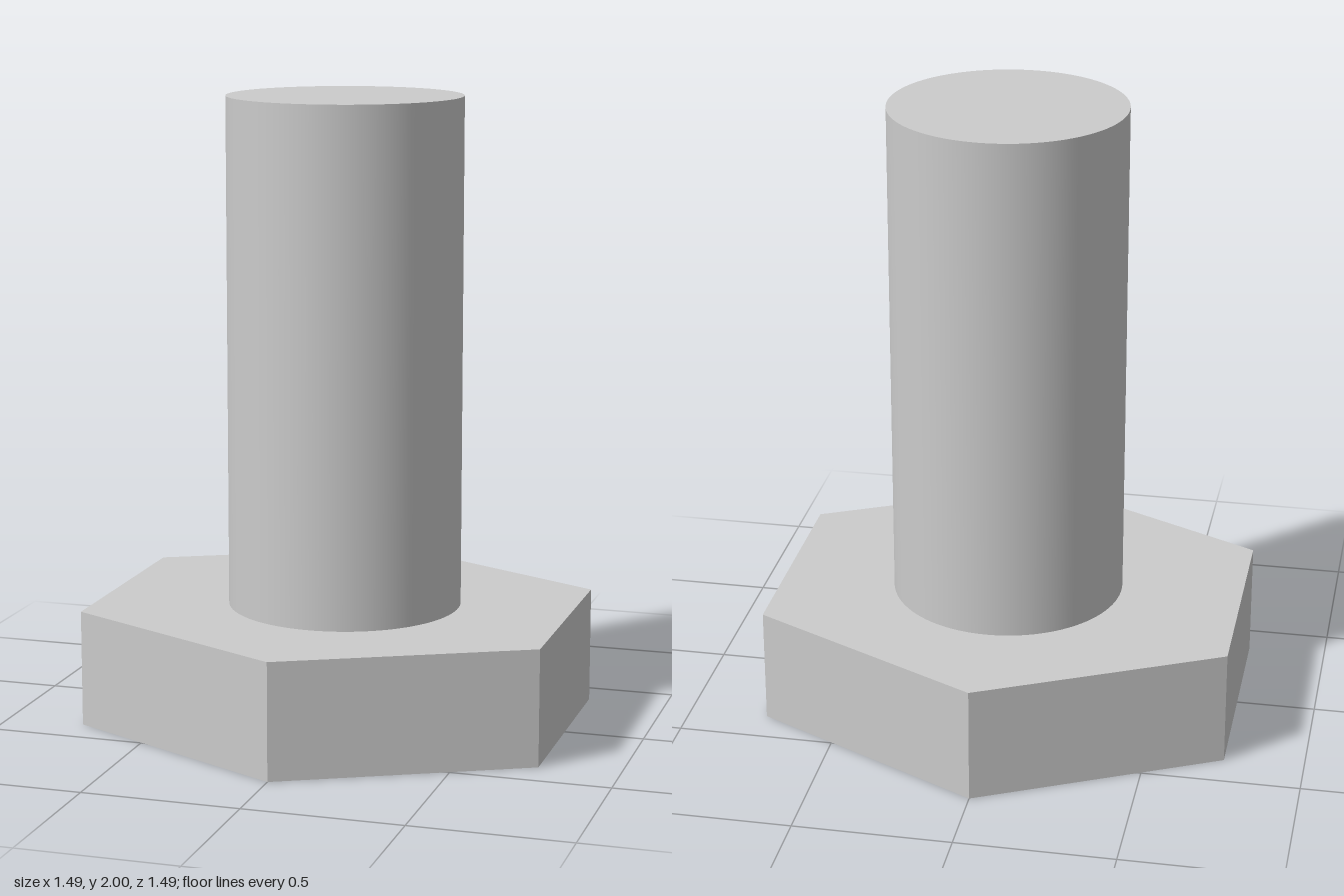
import * as THREE from 'three';

const HEAD_RADIUS = 0.747;
const HEAD_HEIGHT = 0.373;
const SHAFT_RADIUS = 0.373;
const TOTAL_HEIGHT = 2;

export function createModel() {
  const bolt = new THREE.Group();
  bolt.name = 'bolt';

  // Six-sided head, widened in x so it is as wide as it is deep
  const headGeometry = new THREE.CylinderGeometry(HEAD_RADIUS, HEAD_RADIUS, HEAD_HEIGHT, 6);
  headGeometry.scale(1 / Math.cos(Math.PI / 6), 1, 1);
  const head = new THREE.Mesh(
    headGeometry,
    new THREE.MeshStandardMaterial({ color: 0xcccccc, flatShading: true })
  );
  head.name = 'hexHead';
  head.position.y = HEAD_HEIGHT / 2;
  bolt.add(head);

  // Smooth round shaft, standing slightly off-centre on the head
  const shaftHeight = TOTAL_HEIGHT - HEAD_HEIGHT;
  const shaft = new THREE.Mesh(
    new THREE.CylinderGeometry(SHAFT_RADIUS, SHAFT_RADIUS, shaftHeight, 96),
    new THREE.MeshStandardMaterial({ color: 0xcccccc })
  );
  shaft.name = 'shaft';
  shaft.position.set(0.017, HEAD_HEIGHT + shaftHeight / 2, 0);
  bolt.add(shaft);

  return bolt;
}
